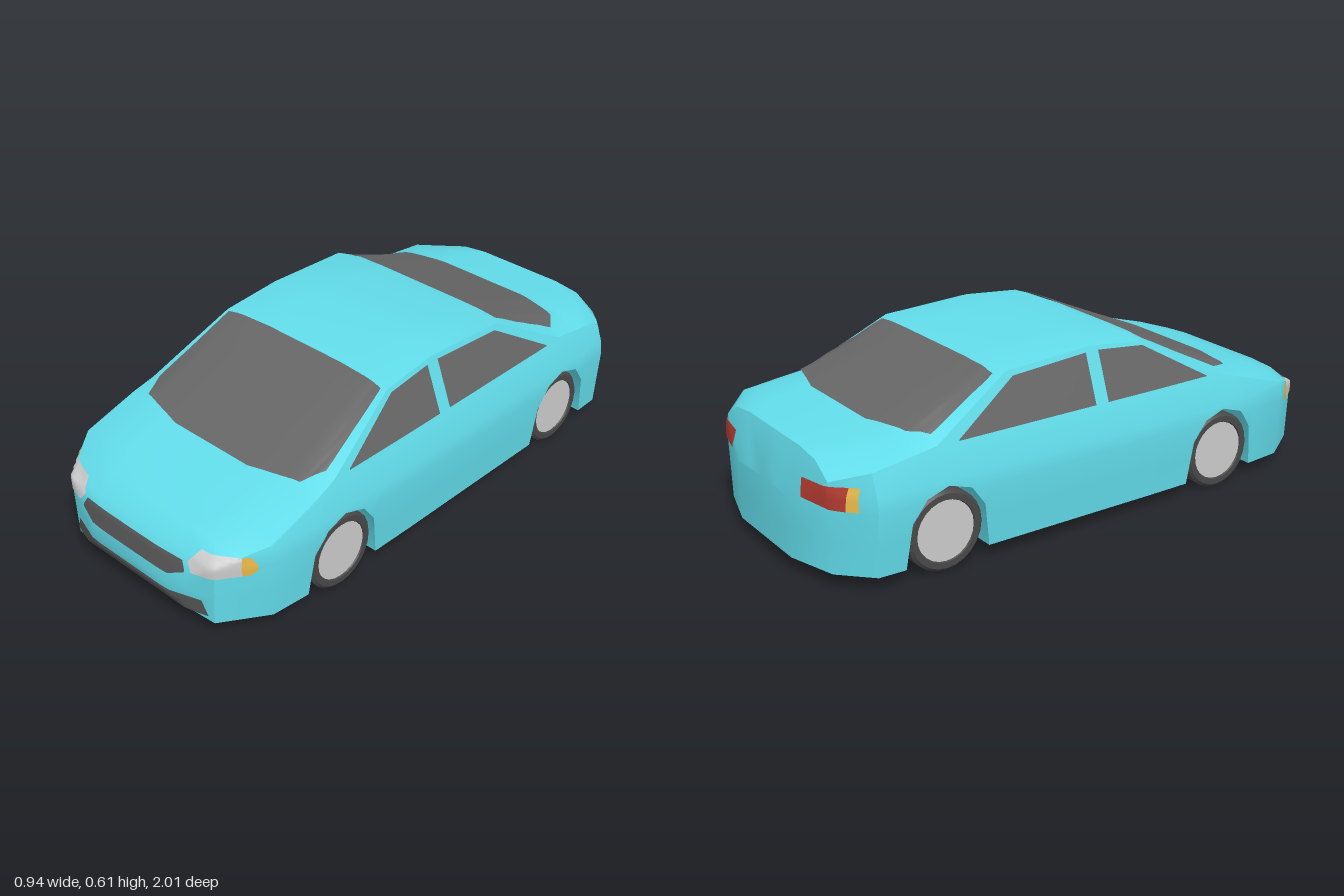
import * as THREE from 'three';
import { toCreasedNormals } from 'three/addons/utils/BufferGeometryUtils.js';

const PAINT = 0x62dcea, GLASS = 0x666666, GRILLE = 0x555555, AMBER = 0xe8b84a, RED = 0xb03a30;
const BASE = 0.05;
const WHEELS = [0.51, -0.605];

// Profiles along the length, as [z, value]
const plan = [[-1, 0.18], [-0.95, 0.36], [-0.85, 0.465], [-0.7, 0.47], [0.2, 0.47], [0.6, 0.465], [0.8, 0.445], [0.95, 0.34], [1, 0.18]];
const crown = [[-1, 0.26], [-0.95, 0.41], [-0.73, 0.44], [-0.33, 0.585], [0, 0.61], [0.22, 0.58], [0.62, 0.405], [0.9, 0.325], [0.98, 0.25], [1, 0.19]];
const edge = [[-1, 0.25], [-0.95, 0.35], [-0.85, 0.385], [-0.62, 0.415], [-0.33, 0.575], [0, 0.592], [0.22, 0.57], [0.52, 0.41], [0.8, 0.325], [0.95, 0.27], [1, 0.18]];
const belly = [[-1, BASE], [0.95, BASE], [0.98, 0.08], [1, 0.12]];
// Half width by height, and the wheel arch by distance from the axle
const flank = [[0.05, 0.455], [0.15, 0.462], [0.26, 0.47], [0.31, 0.465], [0.41, 0.428], [0.59, 0.36]];
const arch = [[0, 0.295], [0.08, 0.27], [0.13, 0.2], [0.15, BASE]];

function lerpTable(table, t) {
  if (t <= table[0][0]) return table[0][1];
  for (let i = 1; i < table.length; i++) {
    const [a, va] = table[i - 1], [b, vb] = table[i];
    if (t <= b) return va + (vb - va) * (t - a) / (b - a);
  }
  return table[table.length - 1][1];
}

// Triangles over a grid of points
function gridGeometry(rows) {
  const n = rows[0].length, index = [];
  for (let i = 0; i < rows.length - 1; i++)
    for (let j = 0; j < n - 1; j++) {
      const a = i * n + j, b = a + n;
      index.push(a, b, b + 1, a, b + 1, a + 1);
    }
  const geometry = new THREE.BufferGeometry();
  geometry.setAttribute('position', new THREE.Float32BufferAttribute(rows.flat(2), 3));
  geometry.setIndex(index);
  geometry.computeVertexNormals();
  return geometry;
}

// One cross-section, from the belly up the left side, over the top and down the right
function section(z) {
  const low = lerpTable(belly, z), top = lerpTable(edge, z), mid = lerpTable(crown, z);
  const sill = Math.max(low, ...WHEELS.map(w => lerpTable(arch, Math.abs(z - w))));
  const width = y => lerpTable(flank, y) * lerpTable(plan, z) / 0.47;
  const well = Math.min(0.33, width(low) * 0.75);
  const half = [[0, low], [well, low], [well, sill]];
  for (const level of [0, 0.15, 0.26, 0.31, 0.41, 1]) {
    const y = Math.min(Math.max(level, sill), top);
    half.push([width(y), y]);
  }
  const w = width(top);
  half.push([w * 0.78, top + (mid - top) * 0.8], [w * 0.5, mid], [0, mid]);
  const other = half.slice(0, -1).reverse().map(([x, y]) => [-x, y]);
  return [...half, ...other].map(([x, y]) => [x, y, z]);
}

function bodyGeometry() {
  const stations = [plan, crown, edge, belly].flatMap(t => t.map(p => p[0]));
  for (const w of WHEELS)
    for (const [d] of arch) stations.push(w - d, w + d);
  const sorted = [...new Set(stations.map(z => +z.toFixed(3)))].sort((a, b) => b - a);
  const rows = sorted.map(section);
  // close the nose and the tail
  const flat = row => row.map(([, y, z]) => [0, y, z]);
  rows.unshift(flat(rows[0]));
  rows.push(flat(rows[rows.length - 1]));
  return toCreasedNormals(gridGeometry(rows), 0.6);
}

function wheel() {
  const group = new THREE.Group();
  const profile = [[0.09, -0.05], [0.125, -0.05], [0.135, -0.04], [0.135, 0.04], [0.125, 0.05], [0.105, 0.05], [0.1, 0.04]];
  const tyre = new THREE.Mesh(
    toCreasedNormals(new THREE.LatheGeometry(profile.map(p => new THREE.Vector2(...p)), 24), 0.6),
    new THREE.MeshStandardMaterial({ color: 0x484848, side: THREE.DoubleSide }));
  tyre.name = 'tyre';
  const rim = new THREE.Mesh(new THREE.CylinderGeometry(0.103, 0.103, 0.09, 24),
    new THREE.MeshStandardMaterial({ color: 0xcccccc }));
  rim.name = 'rim';
  group.add(tyre, rim);
  return group;
}

export function createModel() {
  const car = new THREE.Group();
  car.name = 'car';
  const body = new THREE.Mesh(bodyGeometry(),
    new THREE.MeshStandardMaterial({ color: PAINT, side: THREE.DoubleSide }));
  body.name = 'body';
  car.add(body);
  body.updateMatrixWorld(true);

  // Panel laid on the body: the area between two outlines, projected along an axis
  const ray = new THREE.Raycaster();
  function panel(name, color, axis, sign, first, second, steps = 8) {
    const place = {
      x: (u, v, d) => new THREE.Vector3(d, v, u),
      y: (u, v, d) => new THREE.Vector3(u, d, v),
      z: (u, v, d) => new THREE.Vector3(u, v, d),
    }[axis];
    const direction = place(0, 0, -sign);
    let depth = 0;
    const rows = [];
    const at = (line, t) => {
      const i = Math.min(Math.floor(t), line.length - 2), f = t - i;
      return [0, 1].map(k => line[i][k] * (1 - f) + line[i + 1][k] * f);
    };
    for (let i = 0; i <= (first.length - 1) * steps; i++) {
      const a = at(first, i / steps), b = at(second, i / steps), row = [];
      for (let j = 0; j <= steps; j++) {
        const [u, v] = [0, 1].map(k => a[k] + (b[k] - a[k]) * j / steps);
        ray.set(place(u, v, sign * 3), direction);
        const hit = ray.intersectObject(body)[0];
        if (hit) depth = hit.point[axis] + sign * 0.006;
        row.push(place(u, v, depth).toArray());
      }
      rows.push(row);
    }
    const mesh = new THREE.Mesh(gridGeometry(rows),
      new THREE.MeshStandardMaterial({ color, side: THREE.DoubleSide }));
    mesh.name = name;
    car.add(mesh);
  }
  const mirrored = half => [...half, ...half.slice().reverse().map(([x, v]) => [-x, v])];

  // Windscreen and rear window
  panel('windscreen', GLASS, 'y', 1,
    mirrored([[0.35, 0.23], [0.31, 0.225], [0.16, 0.22]]),
    mirrored([[0.39, 0.52], [0.355, 0.6], [0.17, 0.645]]));
  panel('rearWindow', GLASS, 'y', 1,
    mirrored([[0.34, -0.36], [0.3, -0.36], [0.17, -0.36]]),
    mirrored([[0.39, -0.62], [0.345, -0.68], [0.18, -0.725]]));

  // Grille and lower intake
  panel('grille', GRILLE, 'z', 1,
    mirrored([[0.24, 0.228], [0.225, 0.255]]), mirrored([[0.24, 0.222], [0.18, 0.195]]));
  panel('lowerIntake', GRILLE, 'z', 1, mirrored([[0.295, 0.133]]), mirrored([[0.315, 0.077]]), 16);

  for (const s of [1, -1]) {
    const side = s > 0 ? 'left' : 'right';
    const flip = line => line.map(([x, y]) => [x * s, y]);
    // Door windows
    panel(side + 'FrontWindow', GLASS, 'x', s,
      [[0.455, 0.418], [0.21, 0.56], [0.03, 0.577]], [[0.455, 0.415], [0.21, 0.415], [0.03, 0.415]]);
    panel(side + 'RearWindow', GLASS, 'x', s,
      [[-0.02, 0.577], [-0.31, 0.56], [-0.545, 0.418]], [[-0.02, 0.415], [-0.31, 0.415], [-0.545, 0.415]]);
    // Lamps
    panel(side + 'Headlight', 0xcccccc, 'z', 1,
      flip([[0.245, 0.26], [0.27, 0.297], [0.39, 0.297]]), flip([[0.245, 0.253], [0.265, 0.23], [0.39, 0.23]]));
    panel(side + 'FrontIndicator', AMBER, 'z', 1,
      flip([[0.39, 0.297], [0.405, 0.297], [0.42, 0.262]]), flip([[0.39, 0.23], [0.405, 0.23], [0.42, 0.25]]));
    panel(side + 'Taillight', RED, 'z', -1,
      flip([[0.23, 0.335], [0.395, 0.34]]), flip([[0.24, 0.275], [0.395, 0.265]]));
    panel(side + 'RearIndicator', AMBER, 'z', -1,
      flip([[0.395, 0.34], [0.42, 0.34]]), flip([[0.395, 0.265], [0.425, 0.265]]));
    // Wheels
    WHEELS.forEach((z, i) => {
      const w = wheel();
      w.name = side + (i ? 'RearWheel' : 'FrontWheel');
      w.rotation.z = -s * Math.PI / 2;
      w.position.set(s * 0.395, 0.135, z);
      car.add(w);
    });
  }
  return car;
}
